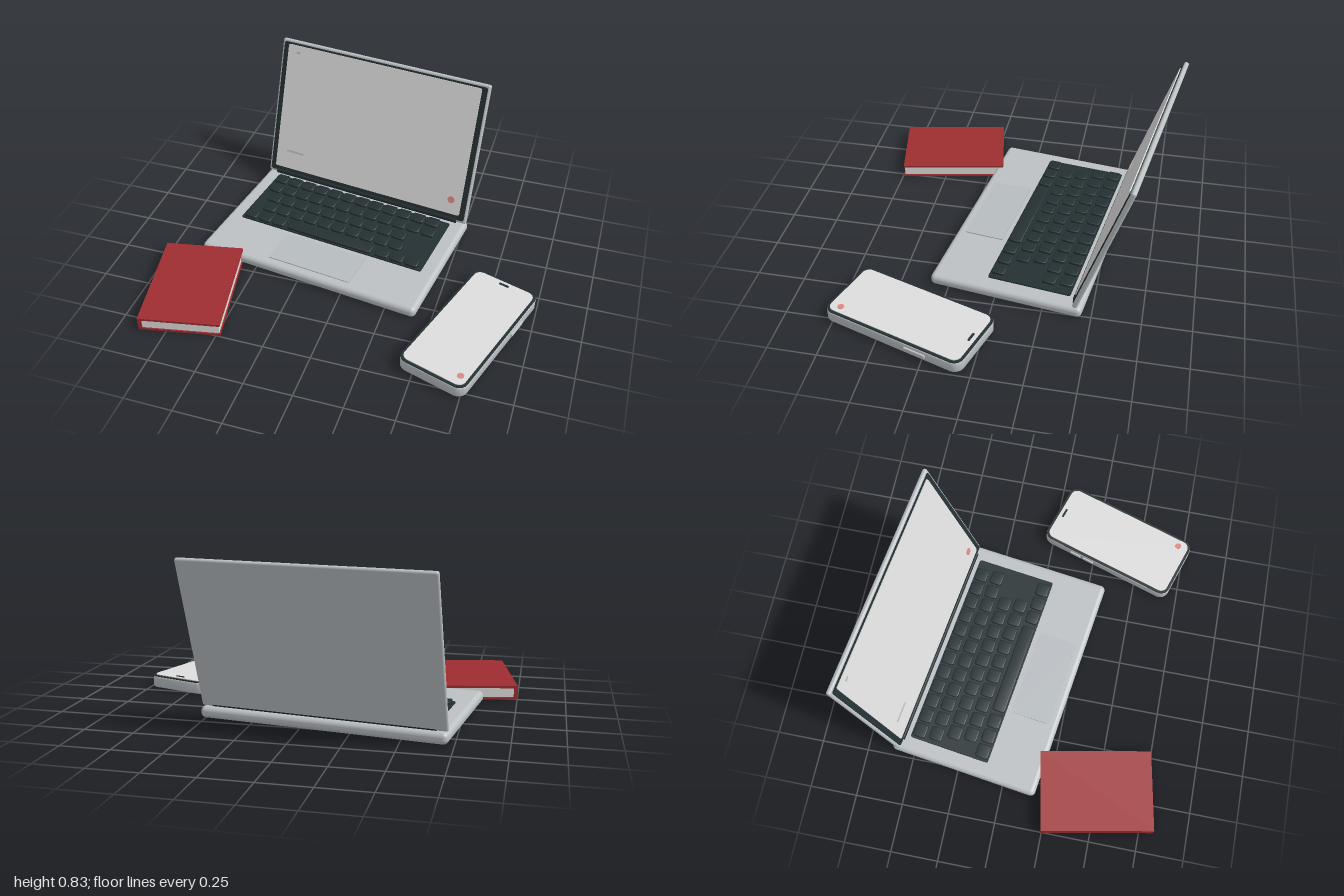
import * as THREE from 'three';
import { toCreasedNormals } from 'three/addons/utils/BufferGeometryUtils.js';
import { RoundedBoxGeometry } from 'three/addons/geometries/RoundedBoxGeometry.js';

const colour = (name, hex) => {
  const m = new THREE.MeshStandardMaterial({ color: hex });
  m.name = name;
  return m;
};

// Rounded rectangle lying flat, from y = 0 to y = h, with optional bevelled rims
function slab(w, d, h, r, bevel = 0) {
  const x = w / 2, y = d / 2, s = new THREE.Shape();
  s.moveTo(-x + r, -y);
  s.lineTo(x - r, -y);
  s.absarc(x - r, -y + r, r, -Math.PI / 2, 0);
  s.lineTo(x, y - r);
  s.absarc(x - r, y - r, r, 0, Math.PI / 2);
  s.lineTo(-x + r, y);
  s.absarc(-x + r, y - r, r, Math.PI / 2, Math.PI);
  s.lineTo(-x, -y + r);
  s.absarc(-x + r, -y + r, r, Math.PI, Math.PI * 1.5);
  const g = new THREE.ExtrudeGeometry(s, {
    depth: h - 2 * bevel, curveSegments: 6, bevelEnabled: bevel > 0,
    bevelThickness: bevel, bevelSize: bevel, bevelOffset: -bevel, bevelSegments: 3,
  });
  g.translate(0, 0, bevel);
  g.rotateX(-Math.PI / 2);
  return toCreasedNormals(g, 0.6);
}

function add(parent, name, geometry, material, x = 0, y = 0, z = 0) {
  const mesh = new THREE.Mesh(geometry, material);
  mesh.name = name;
  mesh.position.set(x, y, z);
  parent.add(mesh);
  return mesh;
}

function group(parent, name, x, y, z, turn = 0) {
  const g = new THREE.Group();
  g.name = name;
  g.position.set(x, y, z);
  g.rotation.y = turn;
  parent.add(g);
  return g;
}

export function createModel() {
  const silver = colour('silver', 0xbcc1c4);
  const trackpadGrey = colour('trackpadGrey', 0xb7bcc0);
  const dark = colour('darkGrey', 0x243032);
  const screenWhite = colour('screenWhite', 0xdddddd);
  const iconGrey = colour('iconGrey', 0xbcbfc2);
  const iconRed = colour('iconRed', 0xdc8880);
  const red = colour('coverRed', 0x9e2d30);
  const paper = colour('paper', 0xe4e2df);

  const model = new THREE.Group();
  model.name = 'deskSet';

  // Laptop base
  const laptop = group(model, 'laptop', -0.152, 0, -0.137, -0.137);
  add(laptop, 'laptopBase', new RoundedBoxGeometry(1.258, 0.06, 0.805, 5, 0.026), silver, 0, 0.031, 0);
  add(laptop, 'keyboardWell', slab(1.09, 0.438, 0.008, 0.01), dark, 0, 0.06, -0.105);
  add(laptop, 'trackpad', slab(0.48, 0.212, 0.006, 0.008), trackpadGrey, 0, 0.06, 0.247);

  // Keys: [first x, z, count] per row
  const keyGeometry = slab(0.074, 0.07, 0.016, 0.013, 0.004);
  const pitch = 0.0866;
  const rows = [
    [-0.497, -0.284, 12], [-0.487, -0.195, 12], [-0.449, -0.105, 10], [-0.43, -0.017, 10],
    [-0.495, 0.072, 3], [0.308, 0.072, 3],
  ];
  for (const [x, z, count] of rows) {
    for (let i = 0; i < count; i++) add(laptop, 'key', keyGeometry, dark, x + i * pitch, 0.067, z);
  }
  add(laptop, 'spaceBar', slab(0.51, 0.07, 0.016, 0.013, 0.004), dark, -0.008, 0.067, 0.072);

  // Hinge bar
  const hinge = add(laptop, 'hinge', new THREE.CylinderGeometry(0.018, 0.018, 1.14, 16), dark, 0, 0.074, -0.363);
  hinge.rotation.z = Math.PI / 2;

  // Tilted lid with bezel and screen; its front lies on local z = 0
  const lid = group(laptop, 'lid', 0, 0.067, -0.352);
  lid.rotation.x = -0.315;
  add(lid, 'lidShell', new RoundedBoxGeometry(1.252, 0.806, 0.026, 4, 0.011), silver, 0, 0.403, -0.013);
  const panel = (name, w, h, z, material, x, y, r = 0.01, t = 0.005) =>
    add(lid, name, slab(w, h, t, r).rotateX(Math.PI / 2), material, x, y, z);
  panel('bezel', 1.224, 0.776, 0, dark, 0, 0.403, 0.012);
  panel('screen', 1.164, 0.738, 0.005, screenWhite, 0, 0.412);
  panel('screenIcon', 0.026, 0.014, 0.01, iconGrey, -0.515, 0.74, 0.005, 0.002);
  panel('screenBar', 0.11, 0.012, 0.01, iconGrey, -0.465, 0.15, 0.004, 0.002);
  panel('screenDot', 0.04, 0.04, 0.01, iconRed, 0.522, 0.126, 0.0199, 0.002);

  // Phone
  const phone = group(model, 'phone', 0.708, 0.004, 0.369, -0.31);
  add(phone, 'phoneBody', slab(0.365, 0.78, 0.062, 0.05, 0.008), silver);
  add(phone, 'phoneBezel', slab(0.362, 0.777, 0.005, 0.049), dark, 0, 0.061, 0);
  add(phone, 'phoneScreen', slab(0.336, 0.75, 0.004, 0.038), screenWhite, 0, 0.066, 0);
  add(phone, 'phoneCameraSlot', slab(0.055, 0.012, 0.003, 0.0055), dark, 0, 0.07, -0.35);
  add(phone, 'phoneDot', new THREE.CylinderGeometry(0.017, 0.017, 0.002, 20), iconRed, 0.13, 0.071, 0.318);
  const button = (length, x, z) =>
    add(phone, 'sideButton', new RoundedBoxGeometry(0.016, 0.022, length, 2, 0.005), silver, x, 0.03, z);
  button(0.12, 0.183, -0.145);
  button(0.065, -0.183, -0.18);
  button(0.065, -0.183, -0.1);

  // Book: two covers, spine on the right side, pages between
  const book = group(model, 'book', -0.74, 0, 0.495, 0.192);
  const box = (name, w, h, d, material, x, y) =>
    add(book, name, new THREE.BoxGeometry(w, h, d), material, x, y, 0);
  box('backCover', 0.42, 0.012, 0.588, red, 0, 0.006);
  box('frontCover', 0.42, 0.012, 0.588, red, 0, 0.068);
  box('spine', 0.02, 0.05, 0.588, red, -0.2, 0.037);
  box('pages', 0.394, 0.05, 0.576, paper, 0.007, 0.037);

  return model;
}
